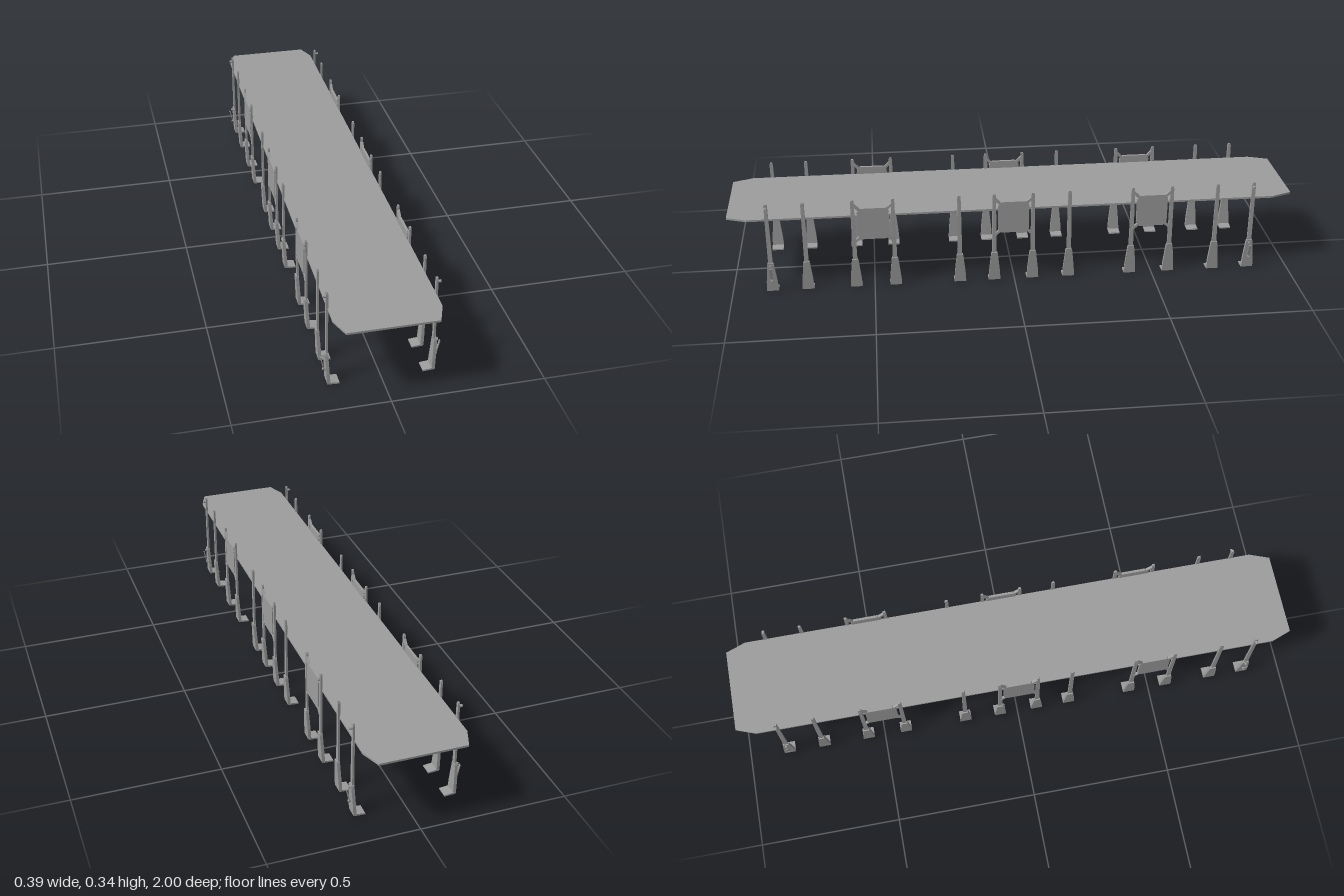
import * as THREE from 'three';

const material = new THREE.MeshStandardMaterial({ color: 0x9e9e9e, flatShading: true });

function addMesh(parent, name, geometry, x = 0, y = 0, z = 0) {
  const mesh = new THREE.Mesh(geometry, material);
  mesh.name = name;
  mesh.position.set(x, y, z);
  parent.add(mesh);
  return mesh;
}

function extrude(points, depth) {
  const shape = new THREE.Shape(points.map(([x, y]) => new THREE.Vector2(x, y)));
  return new THREE.ExtrudeGeometry(shape, { depth, bevelEnabled: false });
}

// Plate outlined in (z, y), spanning x0..x1
const sidePlate = (points, x0, x1) =>
  extrude(points, x1 - x0).rotateY(-Math.PI / 2).translate(x1, 0, 0);

// Mirror half an outline across its vertical axis
const symmetric = (half) => [...half, ...half.map(([a, b]) => [-a, b]).reverse()];

// Bar between two points in the (z, y) plane
function bar(parent, name, [z0, y0], [z1, y1], thickness, x) {
  const length = Math.hypot(z1 - z0, y1 - y0);
  const mesh = addMesh(parent, name, new THREE.BoxGeometry(thickness, thickness, length),
    x, (y0 + y1) / 2, (z0 + z1) / 2);
  mesh.rotation.x = -Math.atan2(y1 - y0, z1 - z0);
}

// The lower blade leans outward towards its top
const bladeLean = new THREE.Matrix4().makeShear(0, 0, 0.05, 0, 0, 0);

function createPost(z) {
  const post = new THREE.Group();
  post.name = 'post';
  post.position.z = z;
  // Slim upper rod, tapering to the top
  addMesh(post, 'upperRod', sidePlate(symmetric(
    [[0.008, 0.1], [0.007, 0.24], [0.006, 0.335], [0.004, 0.343]]), 0.17, 0.177));
  // Flared lower blade
  addMesh(post, 'lowerBlade', sidePlate(symmetric(
    [[0.021, 0.004], [0.019, 0.04], [0.012, 0.108], [0.01, 0.115]]), 0.165, 0.1755)
    .applyMatrix4(bladeLean));
  // Foot turned inward, slightly thinner at the toe
  addMesh(post, 'foot', extrude(
    [[0.136, 0.001], [0.17, 0.003], [0.174, 0.004], [0.175, 0.01], [0.166, 0.009], [0.136, 0.006]],
    0.042).translate(0, -0.001, -0.021));
  return post;
}

function createPanel(z, halfGap) {
  const panel = new THREE.Group();
  panel.name = 'sidePanel';
  panel.position.z = z;
  addMesh(panel, 'panelPlate', sidePlate(symmetric(
    [[0.043, 0.193], [0.055, 0.207], [0.055, 0.298], [0.043, 0.312]]), 0.169, 0.178));
  // Diagonal corner struts to the neighbouring posts
  for (const s of [-1, 1]) {
    bar(panel, 'panelStrut', [s * 0.045, 0.303], [s * halfGap, 0.327], 0.009, 0.1735);
    bar(panel, 'panelStrut', [s * 0.045, 0.203], [s * halfGap, 0.18], 0.009, 0.1735);
  }
  return panel;
}

function createLatch(z) {
  const latch = new THREE.Group();
  latch.name = 'latch';
  latch.position.z = z;
  // Upper and lower pegs
  for (const y of [0.327, 0.105]) {
    addMesh(latch, 'peg', new THREE.CylinderGeometry(0.005, 0.005, 0.014, 8)
      .rotateZ(Math.PI / 2), 0.18, y);
  }
  // Slanted lever and its pivot
  const lever = addMesh(latch, 'lever', new THREE.BoxGeometry(0.003, 0.05, 0.008), 0.188, 0.075);
  lever.rotation.z = -0.22;
  addMesh(latch, 'leverPivot', new THREE.CylinderGeometry(0.005, 0.005, 0.01, 8)
    .rotateZ(Math.PI / 2 + 0.4), 0.181, 0.051);
  return latch;
}

const postPositions = [0.86, 0.735, 0.565, 0.425, 0.195, 0.072, -0.065, -0.195,
  -0.42, -0.56, -0.725, -0.855];
const panelPositions = [0.495, 0.004, -0.49];

// One row of posts on +x; flip turns it to the other side at the same z stations
function createRow(name, flip) {
  const row = new THREE.Group();
  row.name = name;
  const s = flip ? -1 : 1;
  postPositions.forEach((z) => row.add(createPost(s * z)));
  panelPositions.forEach((z) => row.add(createPanel(s * z, 0.069)));
  [0.86, -0.855].forEach((z) => row.add(createLatch(s * z)));
  if (flip) row.rotation.y = Math.PI;
  return row;
}

export function createModel() {
  const model = new THREE.Group();
  model.name = 'platform';
  // Long deck with cut corners
  const deck = symmetric([[0.146, -1], [0.172, -0.93], [0.172, 0.93], [0.146, 1]]);
  addMesh(model, 'deck', extrude(deck, 0.007).rotateX(-Math.PI / 2), 0, 0.278, 0);
  model.add(createRow('leftRow', false), createRow('rightRow', true));
  return model;
}
